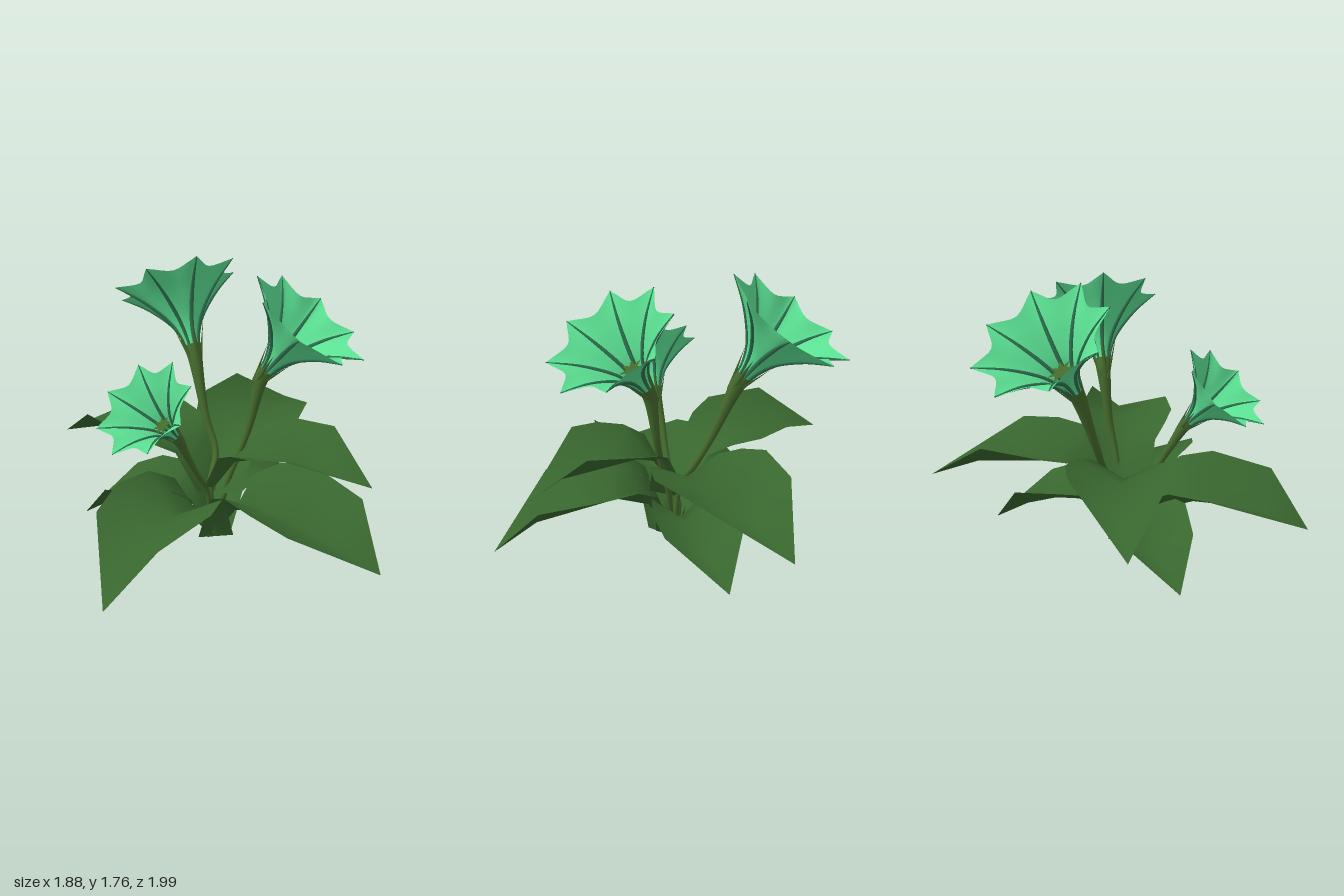
import * as THREE from 'three';

const mat = (name, hex, side = THREE.FrontSide) => {
  const m = new THREE.MeshStandardMaterial({ color: hex, side });
  m.name = name;
  return m;
};
const RAD = Math.PI / 180;
const V = (x, y, z) => new THREE.Vector3(x, y, z);

// Surface through rows of points (every row has the same length)
function loft(rows) {
  const n = rows[0].length, idx = [];
  for (let i = 0; i < rows.length - 1; i++)
    for (let j = 0; j < n - 1; j++) {
      const a = i * n + j, b = a + 1, c = a + n, d = c + 1;
      idx.push(a, b, c, b, d, c);
    }
  const g = new THREE.BufferGeometry().setFromPoints(rows.flat());
  g.setIndex(idx);
  g.computeVertexNormals();
  return g;
}

// Tube whose radius follows a function of its length
function taperedTube(points, radius, segs, sides) {
  const curve = new THREE.CatmullRomCurve3(points);
  const g = new THREE.TubeGeometry(curve, segs, 1, sides);
  const pos = g.attributes.position, p = V(0, 0, 0), c = V(0, 0, 0);
  for (let i = 0; i < pos.count; i++) {
    const t = Math.floor(i / (sides + 1)) / segs;
    curve.getPointAt(t, c);
    p.fromBufferAttribute(pos, i).sub(c).multiplyScalar(radius(t)).add(c);
    pos.setXYZ(i, p.x, p.y, p.z);
  }
  return g;
}

// Leaf trough: per row [along, across, height] for left edge, keel, right edge
const LEAF = [
  [[0.02, 0.17, 0.09], [0, 0, 0], [0.02, -0.17, 0.09]],
  [[0.14, 0.2, 0.43], [0.17, 0, 0.27], [0.16, -0.2, 0.43]],
  [[0.3, 0.27, 0.53], [0.42, 0, 0.36], [0.3, -0.29, 0.53]],
  [[0.53, 0.32, 0.53], [0.62, -0.01, 0.35], [0.5, -0.36, 0.55]],
  [[0.758, 0.278, 0.46], [0.87, -0.05, 0.29], [0.88, -0.296, 0.49]],
];
const TIP = [1.135, -0.115, 0.17];
// Raised leaves: lift per row, and how their edges draw in and flatten
const LIFT = [0.32, 0.28, 0.27, 0.29, 0.31, 0.36];
const EDGE_IN = [0, 0, 0.03, 0.08, 0.1];
const EDGE_DOWN = [0, 0.06, 0.08, 0.07, 0];

function leafGeometry({ az, size, height = 1, lift = 0 }) {
  const c = Math.cos(az * RAD), s = Math.sin(az * RAD);
  const place = ([a, l, y], row) =>
    V(size * (a * c - l * s), y * height + LIFT[row] * lift, size * (a * s + l * c));
  const rows = LEAF.map((r, i) => r.map(([a, l, y], k) => {
    const edge = lift && k !== 1 ? 1 : 0;
    return place([a - edge * EDGE_IN[i], l, y - edge * EDGE_DOWN[i]], i);
  }));
  // Close the end with two triangles meeting in the tip
  const k = (LEAF.length - 1) * 3, t = k + 3;
  const g = new THREE.BufferGeometry().setFromPoints([...rows.flat(), place(TIP, 5)]);
  g.setIndex([...loft(rows).index.array, k, k + 1, t, k + 1, k + 2, t]);
  g.computeVertexNormals();
  return g;
}

// Flower profile along its own axis
const PROFILE = new THREE.CatmullRomCurve3([
  V(0.035, 0, 0), V(0.055, 0.11, 0), V(0.1, 0.215, 0),
  V(0.175, 0.31, 0), V(0.275, 0.405, 0), V(0.41, 0.5, 0),
]);
const PETALS = 8;

// Pleated trumpet, drawn in between the pointed petal tips
function funnelGeometry() {
  const rows = [], steps = 12, around = PETALS * 8;
  for (let i = 0; i <= steps; i++) {
    const t = i / steps, p = PROFILE.getPoint(t), row = [];
    for (let j = 0; j <= around; j++) {
      const a = (j / around) * Math.PI * 2;
      const dip = Math.abs(Math.sin((a * PETALS) / 2)) * t * t;
      const r = p.x * (1 - 0.24 * dip);
      row.push(V(Math.cos(a) * r, p.y - 0.03 * dip * t, Math.sin(a) * r));
    }
    rows.push(row);
  }
  return loft(rows);
}

// Flat star in the throat of the flower
function starGeometry() {
  const pts = Array.from({ length: 16 }, (_, i) => {
    const r = i % 2 ? 0.04 : 0.085, a = (i * Math.PI) / 8;
    return new THREE.Vector2(Math.cos(a) * r, Math.sin(a) * r);
  });
  return new THREE.ShapeGeometry(new THREE.Shape(pts)).rotateX(-Math.PI / 2);
}

export function createModel() {
  const leafMat = mat('leaf green', 0x39672f, THREE.DoubleSide);
  const stemMat = mat('stem olive green', 0x44692c, THREE.DoubleSide);
  const petalMat = mat('petal mint', 0x5ce394, THREE.DoubleSide);
  const veinMat = mat('vein dark teal', 0x2f7350);

  const model = new THREE.Group();
  model.name = 'floweringPlant';
  const add = (parent, name, geo, material) => {
    const m = new THREE.Mesh(geo, material);
    m.name = name;
    parent.add(m);
    return m;
  };

  // Leaves: a low whorl and a raised whorl
  [
    { az: 65, size: 1.01 }, { az: 152, size: 1 },
    { az: -24, size: 0.75, height: 0.82 }, { az: 216, size: 0.73, height: 0.82 },
    { az: -33.6, size: 1.06, lift: 0.95 }, { az: 236.5, size: 0.96, lift: 1.02 },
    { az: 53, size: 0.87, lift: 1.14 },
  ].forEach((o) => add(model, o.lift ? 'upperLeaf' : 'lowerLeaf', leafGeometry(o), leafMat));

  // Shared flower parts
  const funnel = funnelGeometry();
  const veinPts = PROFILE.getPoints(10).slice(1);
  const vein = taperedTube(veinPts, (t) => 0.003 + 0.011 * Math.sin(Math.PI * (0.2 + 0.8 * t)), 14, 5);
  const sepal = new THREE.ConeGeometry(0.024, 0.28, 4);
  sepal.scale(0.5, 1, 1);
  const star = starGeometry();

  function flower({ base, az, tilt, size, stem }) {
    const root = V(...base);
    const axis = V(Math.sin(tilt * RAD) * Math.cos(az * RAD), Math.cos(tilt * RAD), Math.sin(tilt * RAD) * Math.sin(az * RAD));
    // Stem swelling into the calyx
    const path = [...stem.map((p) => V(...p)), root, root.clone().addScaledVector(axis, 0.06 * size)];
    add(model, 'stem', taperedTube(path, (t) => size * (0.02 + 0.036 * t ** 4), 28, 10), stemMat);

    const head = new THREE.Group();
    head.name = 'flower';
    head.position.copy(root);
    head.rotation.set(0, -az * RAD, -tilt * RAD, 'YXZ');
    head.scale.setScalar(size);
    model.add(head);
    add(head, 'petals', funnel, petalMat);
    add(head, 'throatStar', star, stemMat).position.y = 0.22;
    for (let i = 0; i < PETALS; i++)
      add(head, 'petalVein', vein, veinMat).rotation.y = (i * Math.PI * 2) / PETALS;
    for (let i = 0; i < 5; i++) {
      const spoke = new THREE.Group();
      spoke.name = 'sepalSpoke';
      spoke.rotation.y = ((i + 0.5) * Math.PI * 2) / 5;
      const s = add(spoke, 'sepal', sepal, stemMat);
      s.position.set(0.062, 0.06, 0);
      s.rotation.z = -0.3;
      head.add(spoke);
    }
  }

  flower({ base: [0.045, 1.125, -0.385], az: -90, tilt: 35, size: 0.99,
    stem: [[0, 0.12, 0], [-0.01, 0.38, -0.03], [0.07, 0.55, -0.12], [0.05, 0.76, -0.23]] });
  flower({ base: [0.27, 1.12, 0.105], az: 40, tilt: 35, size: 0.94,
    stem: [[0.02, 0.12, 0.02], [0.08, 0.4, 0.03], [0.14, 0.6, 0.06], [0.2, 0.78, 0.075]] });
  flower({ base: [-0.31, 0.86, 0.17], az: 160, tilt: 42, size: 0.74,
    stem: [[-0.02, 0.12, 0.01], [-0.06, 0.38, 0.03], [-0.15, 0.54, 0.08], [-0.23, 0.7, 0.12]] });

  // Young shoots at the heart of the plant
  for (let i = 0; i < 4; i++) {
    const a = i * 1.57 + 0.4;
    const shoot = add(model, 'youngShoot', new THREE.ConeGeometry(0.03, 0.2, 5), stemMat);
    shoot.position.set(Math.cos(a) * 0.05, 0.16, Math.sin(a) * 0.05);
    shoot.rotation.set(Math.sin(a) * 0.3, 0, -Math.cos(a) * 0.3);
  }
  return model;
}
